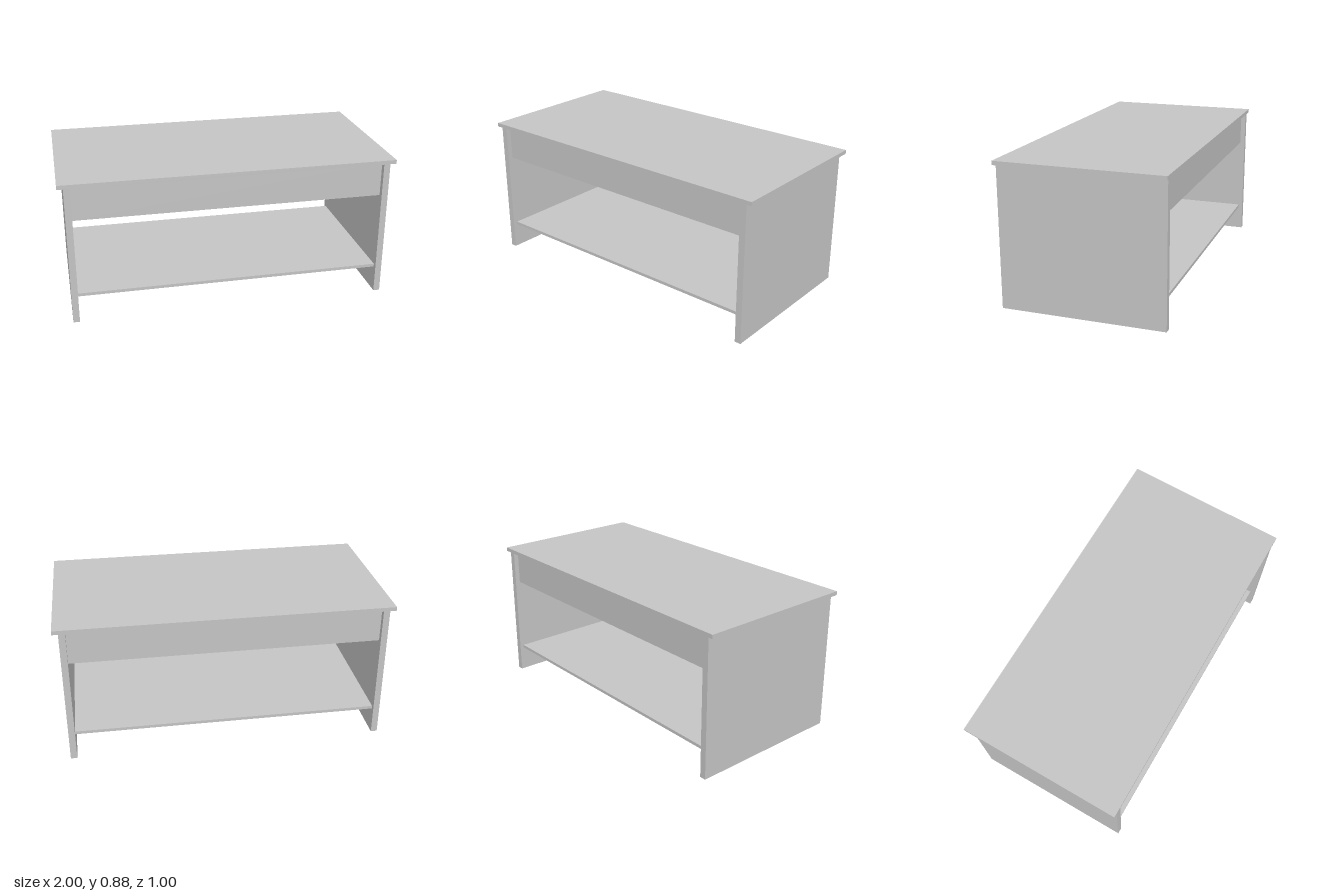
import * as THREE from 'three';

// Plain slab-built table: top, two end panels, boxed apron and low shelf
export function createModel() {
  const model = new THREE.Group();
  model.name = 'table';
  const greyBoard = new THREE.MeshStandardMaterial({ color: 0xc4c4c4 });
  greyBoard.name = 'grey board';

  // Adds a board given its width, depth, bottom and top heights, and centre
  function board(name, width, depth, y0, y1, x = 0, z = 0) {
    const mesh = new THREE.Mesh(new THREE.BoxGeometry(width, y1 - y0, depth), greyBoard);
    mesh.name = name;
    mesh.position.set(x, (y0 + y1) / 2, z);
    model.add(mesh);
  }

  board('tableTop', 2, 1, 0.856, 0.88);

  // Full-depth end panels
  for (const side of [-1, 1]) {
    board(side > 0 ? 'leftPanel' : 'rightPanel', 0.039, 0.987, 0, 0.854, side * 0.945, 0.001);
  }

  // Closed box under the top, set back from the panel edges
  board('apronBox', 1.852, 0.925, 0.645, 0.855);

  board('lowerShelf', 1.852, 0.935, 0.157, 0.176);

  return model;
}
